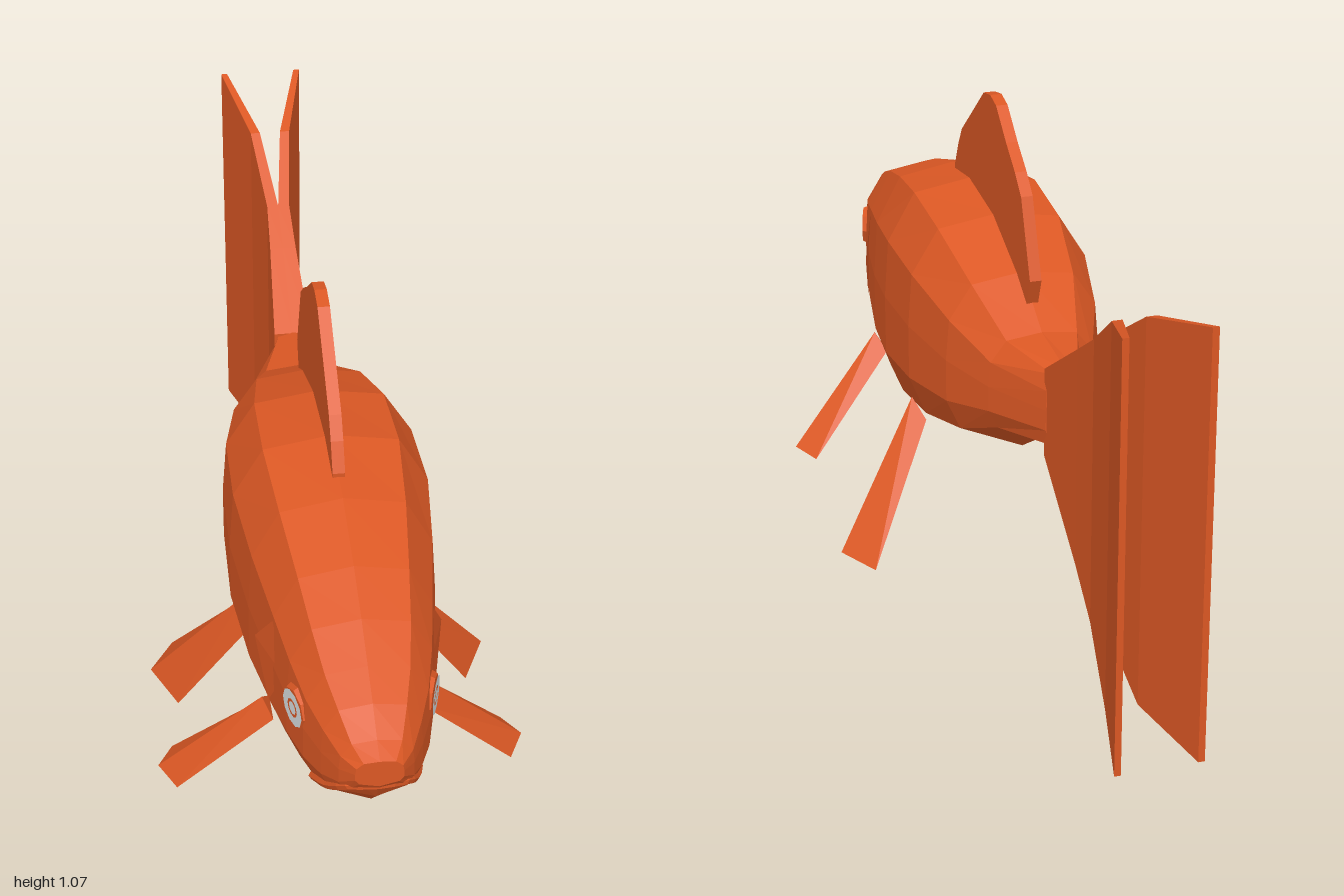
import * as THREE from 'three';

// Closed skin over a series of rings (each ring clockwise as seen along the travel)
function loft(rings) {
  const n = rings[0].length, pos = [], idx = [];
  rings.forEach(r => r.forEach(p => pos.push(...p)));
  for (let i = 0; i < rings.length - 1; i++) {
    for (let j = 0; j < n; j++) {
      const k = (j + 1) % n, a = i * n + j, b = i * n + k;
      idx.push(a, b, a + n, b, b + n, a + n);
    }
  }
  const last = (rings.length - 1) * n;
  for (let j = 1; j < n - 1; j++) {
    idx.push(0, j + 1, j);
    idx.push(last, last + j, last + j + 1);
  }
  const g = new THREE.BufferGeometry();
  g.setAttribute('position', new THREE.Float32BufferAttribute(pos, 3));
  g.setIndex(idx);
  g.computeVertexNormals();
  return g;
}

const mirrorRing = (ring, s) =>
  s > 0 ? ring : ring.map(([x, y, z]) => [-x, y, z]).reverse();

export function createModel() {
  const fish = new THREE.Group();
  fish.name = 'fish';
  const orange = new THREE.MeshStandardMaterial({ color: 0xdc5824, flatShading: true, side: THREE.DoubleSide });
  orange.name = 'orange scales';
  const white = new THREE.MeshStandardMaterial({ color: 0xd9dfe0, flatShading: true });
  white.name = 'eye white';
  const add = (name, geometry, material = orange, parent = fish) => {
    const m = new THREE.Mesh(geometry, material);
    m.name = name;
    parent.add(m);
    return m;
  };

  // Body sections: z, half width, top, bottom
  const sections = [
    [1.0, 0.048, 0.56, 0.495], [0.96, 0.075, 0.58, 0.43], [0.9, 0.102, 0.62, 0.365],
    [0.83, 0.128, 0.655, 0.325], [0.74, 0.15, 0.7, 0.285], [0.63, 0.17, 0.745, 0.24],
    [0.47, 0.197, 0.793, 0.203], [0.29, 0.217, 0.82, 0.215], [0.1, 0.212, 0.8, 0.25],
    [-0.08, 0.175, 0.73, 0.31], [-0.22, 0.12, 0.645, 0.395], [-0.385, 0.043, 0.63, 0.43],
  ];
  // Half outline: width factor, height factor
  const outline = [[0.66, 0.96], [0.955, 0.775], [1, 0.55], [1, 0.32], [0.82, 0.15]];
  const bodyRing = ([z, w, top, bottom]) => {
    const at = (u, v) => [u * w, bottom + v * (top - bottom), z];
    return [
      at(0, 1), ...outline.map(([u, v]) => at(u, v)),
      at(0, 0), ...[...outline].reverse().map(([u, v]) => at(-u, v)),
    ];
  };
  add('body', loft(sections.map(bodyRing)));

  // Dorsal fin
  const dorsal = new THREE.Shape([
    [0.41, 0.74], [0.41, 0.81], [0.38, 0.87], [0.35, 0.915], [0.17, 1.06], [0.12, 1.07], [0.075, 1.06],
    [0, 1.0], [-0.065, 0.955], [-0.11, 0.915], [-0.175, 0.745], [-0.15, 0.68], [0, 0.7],
  ].map(([z, y]) => new THREE.Vector2(z, y)));
  const dorsalGeo = new THREE.ExtrudeGeometry(dorsal, { depth: 0.026, bevelEnabled: false });
  dorsalGeo.translate(0, 0, -0.013).rotateY(-Math.PI / 2);
  add('dorsalFin', dorsalGeo);

  // Tail lobe sections: z, inner x, outer x, top, bottom
  const tail = [
    [-0.37, 0, 0.042, 0.63, 0.43], [-0.55, 0, 0.03, 0.75, 0.26], [-0.64, 0, 0.026, 0.81, 0.17],
    [-0.8, 0.024, 0.046, 0.918, 0.057], [-1, 0.081, 0.095, 0.972, 0.032],
  ];

  // Paired fins, each a tapered triangular bar: root ring, tip ring
  const fins = {
    PectoralFin: [
      [[0.16, 0.31, 0.51], [0.18, 0.345, 0.55], [0.16, 0.31, 0.585]],
      [[0.365, 0.095, 0.41], [0.4, 0.103, 0.475], [0.365, 0.095, 0.54]],
    ],
    PelvicFin: [
      [[0.16, 0.29, 0.15], [0.18, 0.33, 0.2], [0.16, 0.29, 0.245]],
      [[0.33, 0.016, -0.025], [0.387, 0.022, 0.07], [0.333, 0.003, 0.172]],
    ],
  };

  for (const s of [1, -1]) {
    const side = s > 0 ? 'left' : 'right';

    add(side + 'TailLobe', loft(tail.map(([z, a, b, t, d]) =>
      mirrorRing([[a, t, z], [b, t, z], [b, d, z], [a, d, z]], s))));

    for (const [name, rings] of Object.entries(fins)) {
      add(side + name, loft(rings.map(r => mirrorRing(r, s))));
    }

    // Gill cover, lifted at its rear point
    const gill = new THREE.BufferGeometry();
    gill.setAttribute('position', new THREE.Float32BufferAttribute([
      [0.15, 0.53, 0.7], [0.194, 0.53, 0.565], [0.164, 0.62, 0.63],
      [0.15, 0.53, 0.7], [0.174, 0.41, 0.63], [0.194, 0.53, 0.565],
    ].flatMap(([x, y, z]) => [s * x, y, z]), 3));
    if (s < 0) gill.setIndex([0, 2, 1, 3, 5, 4]);
    gill.computeVertexNormals();
    add(side + 'GillCover', gill);

    // Eye: raised socket, white ring and white centre
    const eye = new THREE.Group();
    eye.name = side + 'Eye';
    eye.position.set(s * 0.142, 0.53, 0.793);
    eye.rotation.y = s * 1.24;
    fish.add(eye);
    const socket = new THREE.CylinderGeometry(0.044, 0.058, 0.03, 8);
    socket.rotateX(Math.PI / 2).translate(0, 0, -0.015);
    add('eyeSocket', socket, orange, eye);
    add('eyeRing', new THREE.RingGeometry(0.021, 0.042, 10).translate(0, 0, 0.003), white, eye);
    add('eyeCentre', new THREE.CircleGeometry(0.015, 8).translate(0, 0, 0.003), white, eye);
  }

  // Lip running round the snout to both mouth corners
  const half = [[0.108, 0.372, 0.825], [0.088, 0.42, 0.905], [0.054, 0.478, 0.972]];
  const lipPath = new THREE.CatmullRomCurve3([
    ...half, [0, 0.487, 0.987], ...[...half].reverse().map(([x, y, z]) => [-x, y, z]),
  ].map(p => new THREE.Vector3(...p)));
  add('lip', new THREE.TubeGeometry(lipPath, 16, 0.009, 5));

  return fish;
}
